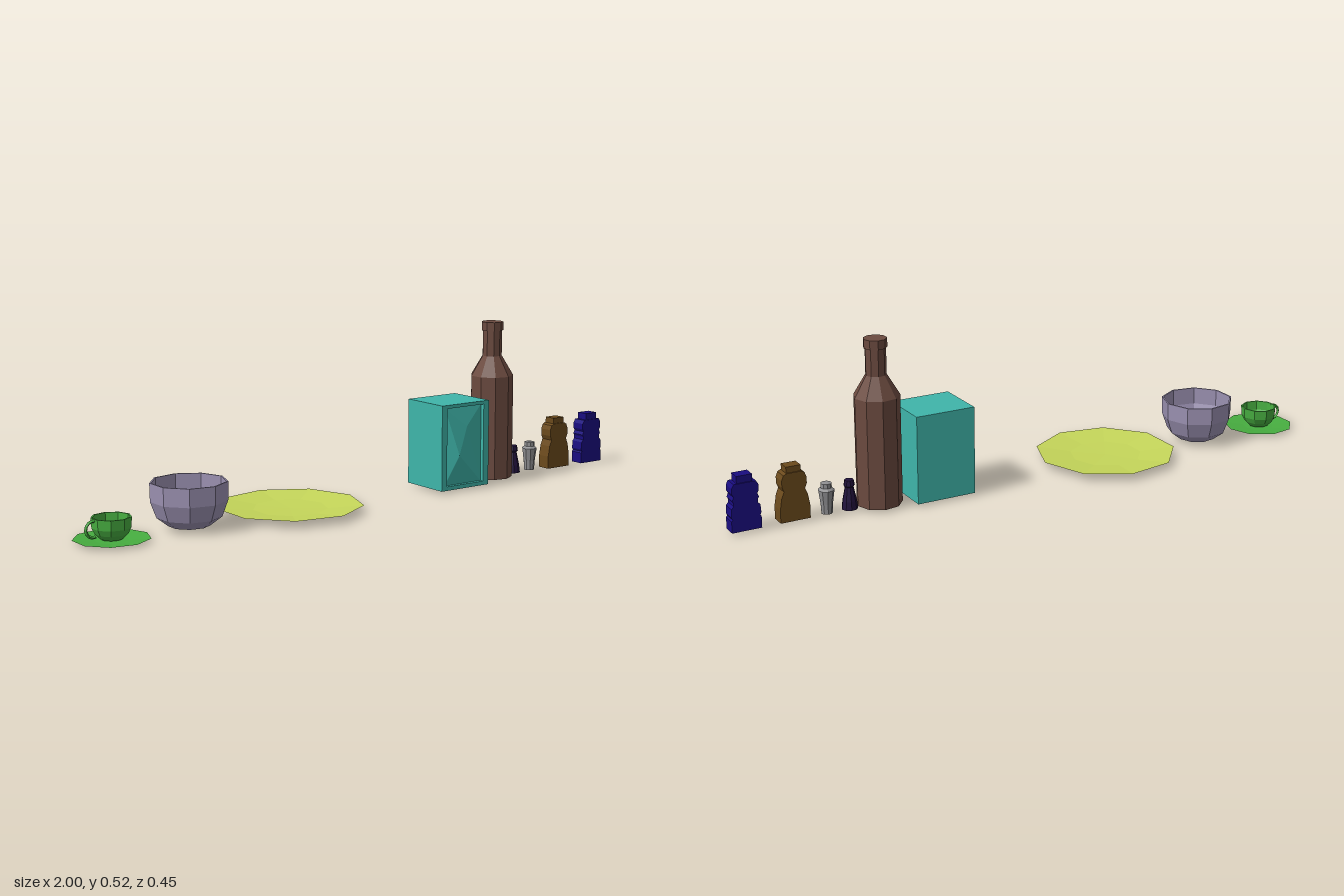
import * as THREE from 'three';

const mat = (color) => new THREE.MeshStandardMaterial({ color, flatShading: true, side: THREE.DoubleSide });

function mesh(name, geometry, material, x = 0, y = 0, z = 0) {
  const m = new THREE.Mesh(geometry, material);
  m.name = name;
  m.position.set(x, y, z);
  return m;
}

// Low-poly turned part from [radius, height] pairs, one corner pointing to +x
function turned(name, profile, color, x, z = 0, sides = 9) {
  const pts = profile.map(([r, y]) => new THREE.Vector2(r, y));
  return mesh(name, new THREE.LatheGeometry(pts, sides, Math.PI / 2), mat(color), x, 0, z);
}

// Flat bottle: mirrored half outline of [halfWidth, height] pairs, extruded in z
function flatBottle(name, half, neck, color, x) {
  const group = new THREE.Group();
  group.name = name;
  const material = mat(color);
  const slab = (part, outline, depth) => {
    const mirrored = outline.map(([w, y]) => [-w, y]).reverse();
    const shape = new THREE.Shape([...outline, ...mirrored].map(([w, y]) => new THREE.Vector2(w, y)));
    const geo = new THREE.ExtrudeGeometry(shape, { depth, bevelEnabled: false });
    group.add(mesh(part, geo.translate(0, 0, -depth / 2), material, x));
  };
  slab(name + 'Body', half, 0.045);
  slab(name + 'Cap', neck, 0.038);
  return group;
}

function createBox() {
  const group = new THREE.Group();
  group.name = 'box';
  const material = mat(0x3fb5aa);
  const [x0, x1, y0, y1] = [0.241, 0.434, 0.009, 0.285];
  const [px0, px1, py0, py1] = [0.262, 0.412, 0.022, 0.274];
  const cx = (x0 + x1) / 2, cy = (y0 + y1) / 2;
  group.add(mesh('boxBody', new THREE.BoxGeometry(x1 - x0, y1 - y0, 0.158), material, cx, cy, -0.007));

  // Raised frame around the front panel
  const rect = (a, b, c, d) => [[a, c], [b, c], [b, d], [a, d]].map(([x, y]) => new THREE.Vector2(x, y));
  const frame = new THREE.Shape(rect(x0, x1, y0, y1));
  frame.holes.push(new THREE.Path(rect(px0, px1, py0, py1)));
  group.add(mesh('boxFrame', new THREE.ExtrudeGeometry(frame, { depth: 0.015, bevelEnabled: false }), material, 0, 0, 0.072));

  // Panel with a slanted ridge
  const panel = new THREE.BufferGeometry();
  panel.setAttribute('position', new THREE.Float32BufferAttribute([
    px0, py0, 0.074, px1, py0, 0.074, px1, py1, 0.074, px0, py1, 0.074,
    0.305, 0.12, 0.097, 0.345, 0.21, 0.085,
  ], 3));
  panel.setIndex([0, 1, 4, 1, 5, 4, 1, 2, 5, 2, 3, 5, 3, 4, 5, 3, 0, 4]);
  panel.computeVertexNormals();
  group.add(mesh('boxPanel', panel, material));
  return group;
}

function createCup() {
  const group = new THREE.Group();
  group.name = 'cupAndSaucer';
  const green = 0x47ad40, x = -0.893;
  group.add(turned('saucer', [[0, 0.001], [0.05, 0.002], [0.114, 0.01], [0.05, 0.005], [0, 0.005]], green, x));
  group.add(turned('cup', [
    [0, 0.008], [0.032, 0.008], [0.048, 0.024], [0.057, 0.042], [0.059, 0.073],
    [0.054, 0.073], [0.052, 0.044], [0.043, 0.027], [0.03, 0.014], [0, 0.014],
  ], green, x));
  const handle = new THREE.TorusGeometry(0.024, 0.005, 4, 8, Math.PI * 1.2);
  handle.rotateZ(Math.PI * 0.4);
  group.add(mesh('cupHandle', handle, mat(green), x - 0.058, 0.043));
  return group;
}

export function createModel() {
  const model = new THREE.Group();
  model.name = 'tableware';

  model.add(createCup());
  model.add(turned('bowl', [
    [0, 0.011], [0.062, 0.011], [0.097, 0.038], [0.115, 0.087], [0.116, 0.143],
    [0.111, 0.143], [0.11, 0.089], [0.092, 0.043], [0.06, 0.018], [0, 0.018],
  ], 0x9a90b0, -0.637));
  model.add(turned('plate', [
    [0, 0.007], [0.1, 0.009], [0.226, 0.024], [0.115, 0.014], [0, 0.012],
  ], 0xc5d65a, -0.282));
  model.add(createBox());

  // Tall bottle with collar
  model.add(turned('tallBottle', [
    [0, 0.009], [0.0705, 0.009], [0.0705, 0.347], [0.032, 0.412], [0.032, 0.495],
    [0.036, 0.495], [0.036, 0.523], [0, 0.523],
  ], 0x6b4a3f, 0.526, -0.0085));

  // Small shakers
  model.add(turned('darkShaker', [
    [0, 0.009], [0.025, 0.009], [0.022, 0.035], [0.013, 0.078], [0.017, 0.083], [0.014, 0.1], [0, 0.102],
  ], 0x21123c, 0.624, -0.01));
  model.add(turned('greyShaker', [
    [0, 0.009], [0.017, 0.009], [0.019, 0.04], [0.025, 0.083], [0.017, 0.09], [0.017, 0.104], [0, 0.106],
  ], 0x909092, 0.698, -0.01));

  // Flat sauce bottles
  model.add(flatBottle('brownBottle', [
    [0.047, 0.009], [0.047, 0.05], [0.041, 0.085], [0.033, 0.105], [0.039, 0.12], [0.039, 0.14], [0.033, 0.155], [0.024, 0.16],
  ], [[0.023, 0.158], [0.023, 0.179]], 0x6b4a1c, 0.802));
  model.add(flatBottle('blueBottle', [
    [0.046, 0.009], [0.046, 0.045], [0.042, 0.05], [0.046, 0.057], [0.044, 0.082], [0.037, 0.09], [0.037, 0.1],
    [0.041, 0.107], [0.036, 0.118], [0.041, 0.127], [0.041, 0.145], [0.034, 0.157],
  ], [[0.024, 0.155], [0.024, 0.179]], 0x1a0d80, 0.953));

  return model;
}
